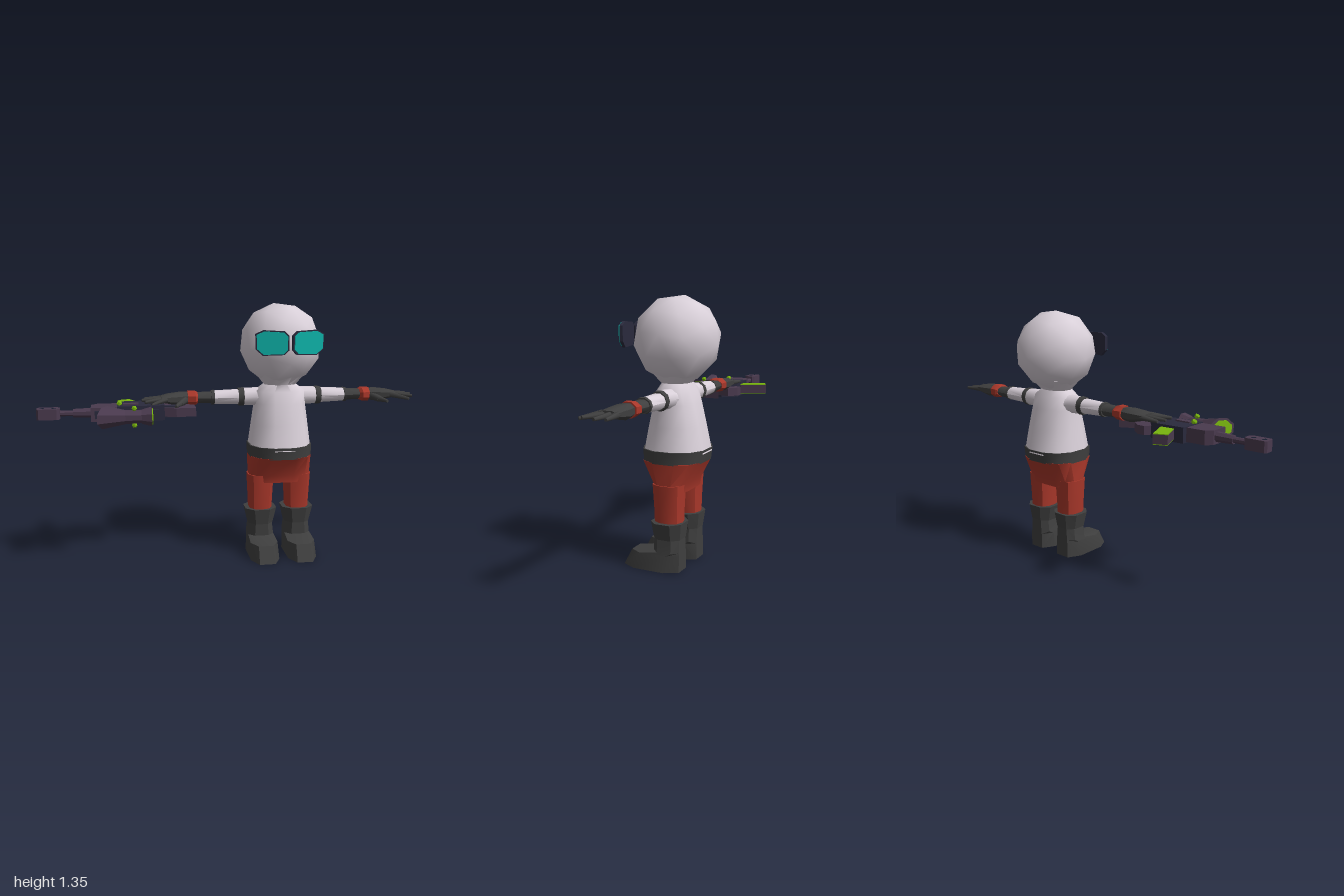
import * as THREE from 'three';
import { mergeVertices, toCreasedNormals } from 'three/addons/utils/BufferGeometryUtils.js';

const mat = (name, color, side = THREE.FrontSide) => {
  const m = new THREE.MeshStandardMaterial({ color, side });
  m.name = name;
  return m;
};
const M = {
  white: mat('pale cloth', 0xd9d0d9),
  black: mat('charcoal leather', 0x3f3f3f),
  red: mat('red cloth', 0xa8372a),
  cyan: mat('cyan glass', 0x0fb8ae),
  navy: mat('dark navy metal', 0x2a2a3d),
  purple: mat('dull purple metal', 0x4a3a4e),
  green: mat('glowing green', 0x78b40e),
};

function add(parent, name, geo, material, x = 0, y = 0, z = 0) {
  const m = new THREE.Mesh(geo, material);
  m.name = name;
  m.position.set(x, y, z);
  parent.add(m);
  return m;
}

// Capped loft along y; each ring is [y, halfX, halfZ, centreZ, centreX]. Low power = boxier.
function loft(rings, n = 12, power = 0.8, crease = 0.7) {
  const pos = [], idx = [];
  const sp = (v) => Math.sign(v) * Math.pow(Math.abs(v), power);
  for (const [y, hx, hz, cz = 0, cx = 0] of rings) {
    for (let i = 0; i < n; i++) {
      const a = ((i + 0.5) / n) * Math.PI * 2;
      const k = 1 / sp(Math.cos(Math.PI / n));
      pos.push(cx + hx * k * sp(Math.cos(a)), y, cz + hz * k * sp(Math.sin(a)));
    }
  }
  for (let r = 0; r < rings.length - 1; r++) {
    for (let i = 0; i < n; i++) {
      const a = r * n + i, b = r * n + ((i + 1) % n);
      idx.push(a, a + n, b, b, a + n, b + n);
    }
  }
  const top = (rings.length - 1) * n;
  for (let i = 1; i < n - 1; i++) {
    idx.push(0, i, i + 1);
    idx.push(top, top + i + 1, top + i);
  }
  const g = new THREE.BufferGeometry();
  g.setAttribute('position', new THREE.Float32BufferAttribute(pos, 3));
  g.setIndex(idx);
  return toCreasedNormals(g.toNonIndexed(), crease);
}

// Loft whose length runs along +x
const loftX = (...args) => loft(...args).rotateZ(-Math.PI / 2);

// Flat-sided cylinder whose top faces -x
function tubeX(rFront, rBack, length, sides = 8) {
  return toCreasedNormals(new THREE.CylinderGeometry(rFront, rBack, length, sides).rotateY(Math.PI / sides), 0.5)
    .rotateZ(Math.PI / 2);
}

// Slab with its outline in the xz plane, centred on y = 0
function slab(points, thick, holes = []) {
  const toV = ([x, z]) => new THREE.Vector2(x, -z);
  const s = new THREE.Shape(points.map(toV));
  for (const h of holes) s.holes.push(new THREE.Path(h.map(toV)));
  return new THREE.ExtrudeGeometry(s, { depth: thick, bevelEnabled: false })
    .translate(0, 0, -thick / 2).rotateX(-Math.PI / 2);
}

// Tapered limb between two points
function limb(a, b, ra, rb) {
  const A = new THREE.Vector3(...a), B = new THREE.Vector3(...b);
  const d = B.clone().sub(A);
  const g = new THREE.CylinderGeometry(rb, ra, d.length(), 6);
  g.applyQuaternion(new THREE.Quaternion().setFromUnitVectors(new THREE.Vector3(0, 1, 0), d.normalize()));
  const c = A.add(B).multiplyScalar(0.5);
  return g.translate(c.x, c.y, c.z);
}

function buildArm() {
  const arm = new THREE.Group();
  add(arm, 'sleeve', loftX([[0.06, 0.045, 0.06], [0.13, 0.046, 0.048], [0.2, 0.044, 0.044]], 10, 1), M.white);
  add(arm, 'sleeveBand', loftX([[0.195, 0.048, 0.047], [0.225, 0.045, 0.045]], 10, 1), M.black);
  add(arm, 'forearm', loftX([[0.22, 0.039, 0.042], [0.36, 0.034, 0.04]], 10, 1), M.white);
  add(arm, 'gloveBand', loftX([[0.353, 0.038, 0.043], [0.37, 0.036, 0.043]], 10, 1), M.black);
  add(arm, 'gloveCuff', loftX([[0.368, 0.03, 0.037], [0.45, 0.027, 0.036]], 10, 1), M.black);
  add(arm, 'wristband', loftX([[0.442, 0.028, 0.04], [0.455, 0.035, 0.052, 0.006], [0.495, 0.036, 0.044]], 8, 1, 0.4), M.red);
  add(arm, 'palm', loftX([[0.485, 0.03, 0.034], [0.54, 0.034, 0.045, 0.004, 0.003], [0.6, 0.024, 0.05, 0.01], [0.635, 0.016, 0.05, 0.015]], 8, 0.9), M.black);
  const tips = [[0.722, -0.032], [0.735, 0.018], [0.72, 0.085], [0.688, 0.122]];
  tips.forEach(([x, z], i) =>
    add(arm, 'finger', limb([0.61, 0, -0.024 + i * 0.026], [x, -0.005 + (i === 3 ? -0.01 : 0), z], 0.016, 0.008), M.black));
  add(arm, 'thumb', limb([0.5, -0.004, 0.015], [0.54, -0.02, 0.075], 0.022, 0.017), M.black);
  add(arm, 'thumbTip', limb([0.537, -0.019, 0.07], [0.565, -0.024, 0.13], 0.016, 0.008), M.black);
  arm.position.set(0, 0.863, -0.04);
  return arm;
}

function buildLeg() {
  const leg = new THREE.Group();
  add(leg, 'trouserLeg', loft([[0.22, 0.06, 0.07], [0.3, 0.063, 0.07], [0.44, 0.07, 0.078]], 10), M.red);
  add(leg, 'boot', loft([[0, 0.078, 0.155, 0.085], [0.085, 0.074, 0.132, 0.062], [0.1, 0.07, 0.07], [0.17, 0.062, 0.069]], 8, 0.7, 0.6), M.black);
  add(leg, 'bootCuff', loft([[0.165, 0.066, 0.072], [0.25, 0.085, 0.083]], 8, 0.8, 0.6), M.black);
  leg.position.set(0.102, 0, -0.035);
  return leg;
}

function buildGoggle() {
  const goggle = new THREE.Group();
  const outline = (s) => new THREE.Shape([[-0.08, 0.034], [-0.058, 0.055], [0.045, 0.06], [0.082, 0.042],
    [0.08, -0.03], [0.045, -0.06], [-0.058, -0.056], [-0.08, -0.034]].map(([x, y]) => new THREE.Vector2(x * s, y * s)));
  const plate = (s, depth) => new THREE.ExtrudeGeometry(outline(s), { depth, bevelEnabled: false });
  add(goggle, 'goggleFrame', plate(1.05, 0.016), M.navy, 0, 0, -0.017);
  add(goggle, 'goggleLens', plate(0.96, 0.006), M.cyan, 0, 0, 0);
  goggle.position.set(0.092, 1.165, 0.208);
  goggle.rotation.y = 0.2;
  return goggle;
}

function buildRifle() {
  const gun = new THREE.Group();
  // Barrel and pierced muzzle
  const diamond = (x) => [[x - 0.015, 0.032], [x, 0.017], [x + 0.015, 0.032], [x, 0.047]];
  add(gun, 'muzzle', slab([[-1, 0.01], [-0.99, 0], [-0.9, 0], [-0.885, 0.012], [-0.885, 0.052], [-0.9, 0.065], [-0.99, 0.065], [-1, 0.055]],
    0.055, [diamond(-0.972), diamond(-0.918)]), M.purple);
  add(gun, 'barrel', tubeX(0.015, 0.015, 0.2), M.purple, -0.79, 0, 0.032);
  add(gun, 'barrelSleeve', tubeX(0.022, 0.026, 0.1), M.purple, -0.77, 0, 0.032);
  // Receiver, rails and stock
  add(gun, 'handguard', slab([[-0.73, 0], [-0.7, -0.03], [-0.57, -0.035], [-0.57, 0.1], [-0.73, 0.1]], 0.07), M.purple);
  add(gun, 'receiver', slab([[-0.6, -0.06], [-0.42, -0.07], [-0.36, 0], [-0.36, 0.09], [-0.6, 0.105]], 0.078), M.navy);
  add(gun, 'topRail', new THREE.BoxGeometry(0.32, 0.04, 0.02), M.navy, -0.55, 0, 0.1);
  add(gun, 'sidePanel', new THREE.BoxGeometry(0.08, 0.092, 0.035), M.purple, -0.53, 0, 0.05);
  add(gun, 'grip', slab([[-0.44, -0.04], [-0.4, -0.1], [-0.36, -0.1], [-0.31, -0.06], [-0.34, 0.02], [-0.42, 0.02]], 0.045), M.purple);
  add(gun, 'stock', slab([[-0.38, 0.02], [-0.3, 0.0], [-0.2, -0.05], [-0.2, 0.1], [-0.3, 0.1], [-0.38, 0.075]], 0.045), M.purple);
  add(gun, 'stockSpine', new THREE.BoxGeometry(0.16, 0.06, 0.04), M.navy, -0.36, 0, 0.05);
  // Magazine with glowing faces
  const mag = new THREE.Group();
  mag.name = 'magazine';
  add(mag, 'magazineBody', new THREE.BoxGeometry(0.072, 0.046, 0.15), M.purple);
  for (const s of [-1, 1]) add(mag, 'magazinePanel', new THREE.BoxGeometry(0.07, 0.006, 0.146), M.green, 0, s * 0.024, 0);
  mag.position.set(-0.537, 0, -0.125);
  mag.rotation.y = 0.4;
  gun.add(mag);
  // Scope with a slanted flared hood
  const slant = (g) => {
    const p = g.attributes.position;
    for (let i = 0; i < p.count; i++) if (p.getX(i) < 0) p.setX(i, p.getX(i) - p.getZ(i) * 0.65);
    return g;
  };
  const zs = 0.182;
  add(gun, 'scopeHood', slant(tubeX(0.058, 0.036, 0.1)), M.purple, -0.61, 0, zs);
  add(gun, 'scopeFrontLens', slant(tubeX(0.046, 0.046, 0.006)), M.green, -0.66, 0, zs);
  add(gun, 'scopeTube', tubeX(0.036, 0.032, 0.11), M.purple, -0.52, 0, zs);
  add(gun, 'scopeEyepiece', tubeX(0.036, 0.05, 0.05), M.purple, -0.455, 0, zs);
  add(gun, 'scopeRearLens', tubeX(0.042, 0.042, 0.008), M.green, -0.428, 0, zs);
  add(gun, 'scopeMount', new THREE.BoxGeometry(0.05, 0.035, 0.07), M.navy, -0.515, 0, 0.125);
  for (const s of [-1, 1]) {
    add(gun, 'receiverLight', new THREE.IcosahedronGeometry(0.016, 0), M.green, -0.587, s * 0.046, 0.05);
    add(gun, 'scopeLight', new THREE.IcosahedronGeometry(0.015, 0), M.green, -0.515, s * 0.042, zs);
  }
  gun.position.y = 0.81;
  return gun;
}

export function createModel() {
  const model = new THREE.Group();
  const figure = new THREE.Group();
  figure.name = 'figure';
  figure.position.x = 0.263;
  model.add(figure);

  // Head: coarse rounded ball with smooth normals
  let head = new THREE.IcosahedronGeometry(0.217, 1);
  head.deleteAttribute('normal');
  head.deleteAttribute('uv');
  head = mergeVertices(head, 1e-4).rotateZ(0.15).rotateX(-0.12);
  head.computeVertexNormals();
  add(figure, 'head', head, M.white, 0, 1.14, -0.033);

  // Torso, belt and hips
  add(figure, 'torso', loft([[0.59, 0.163, 0.162, -0.033], [0.72, 0.147, 0.135, -0.033], [0.83, 0.133, 0.108, -0.033],
    [0.895, 0.132, 0.085, -0.032], [0.93, 0.085, 0.07, -0.03], [0.99, 0.13, 0.13, -0.033]], 12, 0.85, 1.2), M.white);
  add(figure, 'belt', loft([[0.545, 0.166, 0.156, -0.031], [0.608, 0.168, 0.162, -0.033]], 12, 0.8), M.black);
  add(figure, 'hips', loft([[0.4, 0.164, 0.084, -0.035], [0.44, 0.165, 0.09, -0.035], [0.55, 0.164, 0.154, -0.031]], 12, 0.7), M.red);

  // Mirrored limbs and goggles
  for (const [side, s] of [['left', 1], ['right', -1]]) {
    const half = new THREE.Group();
    half.name = side + 'Side';
    half.scale.x = s;
    for (const [name, build] of [['Arm', buildArm], ['Leg', buildLeg], ['Goggle', buildGoggle]]) {
      const part = build();
      part.name = side + name;
      half.add(part);
    }
    figure.add(half);
  }

  const rifle = buildRifle();
  rifle.name = 'rifle';
  model.add(rifle);
  return model;
}
